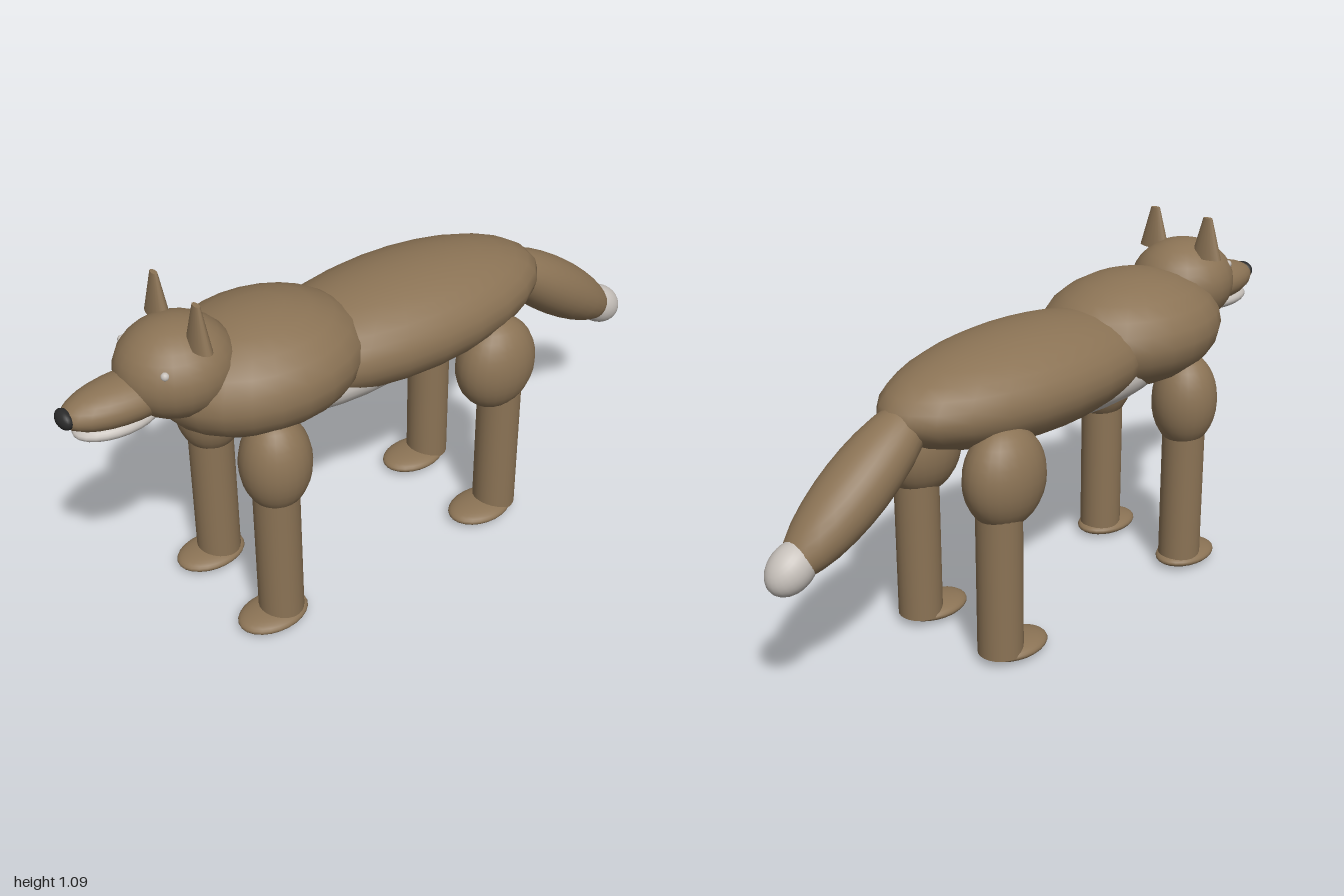
import * as THREE from 'three';

export function createModel() {
  const model = new THREE.Group();
  model.name = 'fox';

  const material = (name, color) => {
    const m = new THREE.MeshStandardMaterial({ color });
    m.name = name;
    return m;
  };
  const fur = material('brown fur', 0x8b7355);
  const pale = material('pale fur', 0xc6c0ba);
  const black = material('black nose', 0x2a2a2a);

  const add = (name, geometry, mat, pos, parent = model) => {
    const mesh = new THREE.Mesh(geometry, mat);
    mesh.name = name;
    mesh.position.set(...pos);
    parent.add(mesh);
    return mesh;
  };
  // Ellipsoid with the given centre and radii
  const ball = (name, mat, pos, radii, parent, w = 24, h = 16) =>
    add(name, new THREE.SphereGeometry(1, w, h).scale(...radii), mat, pos, parent);

  // Torso
  ball('body', fur, [0, 0.75, -0.08], [0.235, 0.156, 0.51]);
  ball('chest', fur, [0, 0.782, 0.4], [0.25, 0.172, 0.32], model, 24, 12);
  ball('belly', pale, [0, 0.69, 0.14], [0.18, 0.1, 0.4]);

  // Head
  const head = new THREE.Group();
  head.name = 'head';
  model.add(head);
  ball('skull', fur, [0, 0.87, 0.652], [0.158, 0.136, 0.166], head);
  ball('muzzle', fur, [0, 0.832, 0.8], [0.086, 0.063, 0.19], head);
  ball('jaw', pale, [0, 0.776, 0.835], [0.072, 0.032, 0.125], head);
  ball('nose', black, [0, 0.836, 0.978], [0.036, 0.027, 0.021], head);

  // Eyes and flattened, blunt ears
  for (const side of [1, -1]) {
    const label = side > 0 ? 'left' : 'right';
    ball(label + 'Eye', pale, [side * 0.108, 0.924, 0.743], [0.012, 0.012, 0.012], head, 12, 8);
    add(label + 'Ear', new THREE.CylinderGeometry(0.016, 0.053, 0.125, 20).scale(1, 1, 0.48),
      fur, [side * 0.102, 1.028, 0.636], head);
  }

  // Legs: rounded thigh, straight shin, flat paw reaching forward
  const legs = [
    { label: 'front', thighZ: 0.467, thighR: 0.103, shinZ: 0.47, pawZ: 0.5 },
    { label: 'hind', thighZ: -0.322, thighR: 0.132, shinZ: -0.345, pawZ: -0.288 },
  ];
  for (const { label, thighZ, thighR, shinZ, pawZ } of legs) {
    for (const side of [1, -1]) {
      const leg = new THREE.Group();
      leg.name = label + (side > 0 ? 'LeftLeg' : 'RightLeg');
      model.add(leg);
      const x = side * 0.167;
      ball('thigh', fur, [x, 0.565, thighZ], [0.1, 0.15, thighR], leg);
      add('shin', new THREE.CylinderGeometry(0.066, 0.066, 0.46, 24), fur, [x, 0.26, shinZ], leg);
      ball('paw', fur, [x, 0.029, pawZ], [0.079, 0.027, 0.11], leg);
    }
  }

  // Tail sloping down and back, with a pale tip
  const slope = -0.62;
  ball('tail', fur, [0, 0.61, -0.7], [0.1, 0.09, 0.305]).rotation.x = slope;
  ball('tailTip', pale, [0, 0.457, -0.925], [0.06, 0.062, 0.083]).rotation.x = slope;

  return model;
}
